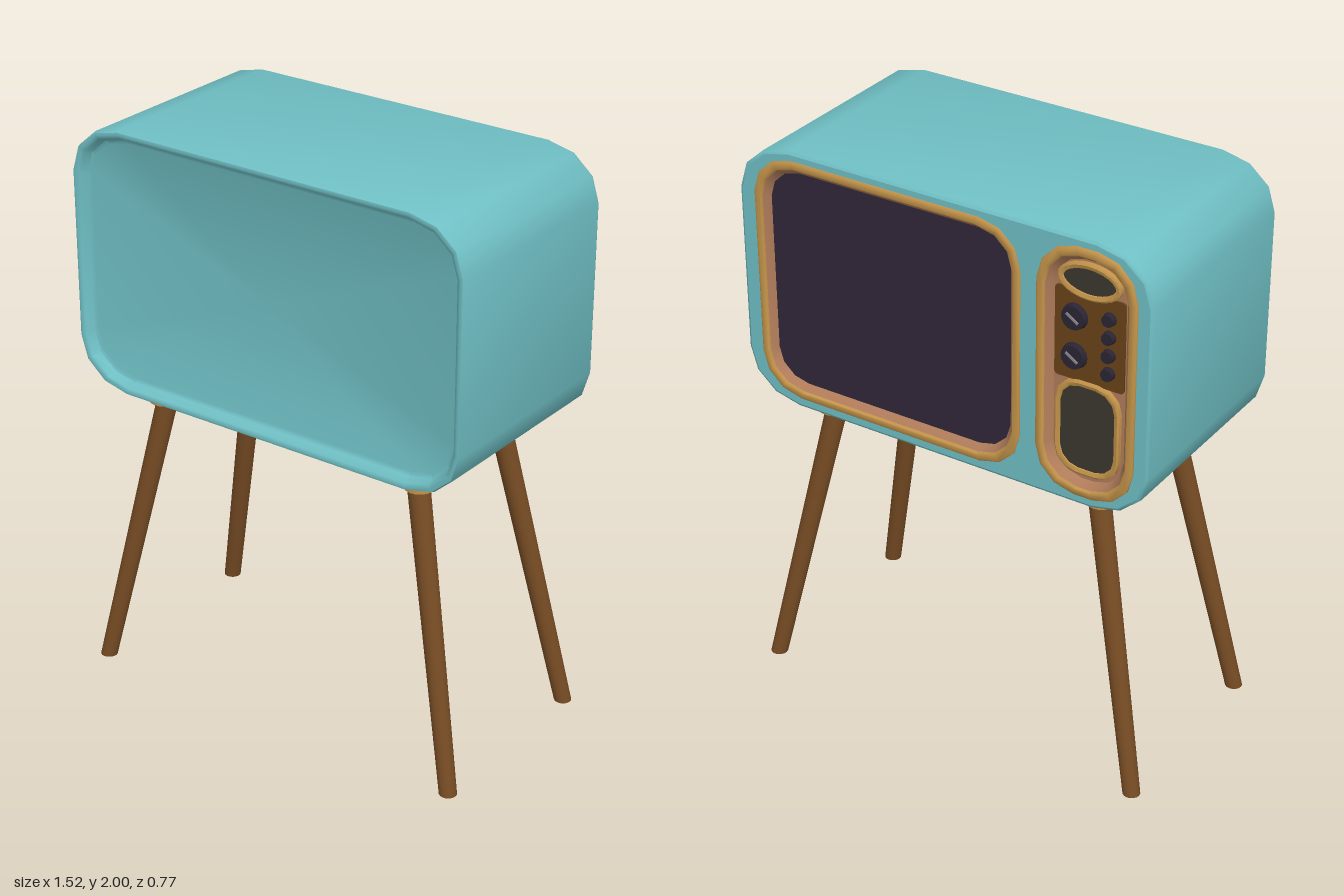
import * as THREE from 'three';
import { toCreasedNormals } from 'three/addons/utils/BufferGeometryUtils.js';

const mat = (name, color) => {
  const m = new THREE.MeshStandardMaterial({ color });
  m.name = name;
  return m;
};

// Rounded rectangle outline, counter-clockwise seen from +z
function outline({ x, y, w, h, rx, ry, steps = 3 }, inset = 0) {
  const hw = w / 2 - inset, hh = h / 2 - inset;
  const ax = Math.max(rx - inset * 0.7, 0.004), ay = Math.max(ry - inset * 0.7, 0.004);
  const pts = [];
  [[1, 1], [-1, 1], [-1, -1], [1, -1]].forEach(([sx, sy], q) => {
    for (let i = 0; i <= steps; i++) {
      const a = (q + i / steps) * Math.PI / 2;
      pts.push(new THREE.Vector2(
        x + sx * (hw - ax) + ax * Math.cos(a),
        y + sy * (hh - ay) + ay * Math.sin(a)));
    }
  });
  return pts;
}

// Skin over a series of [inset, z] rings, optionally closed at either end
function loft(shape, rings, { capStart = false, capEnd = false, crease = 0.85 } = {}) {
  const pos = [], idx = [];
  let n = 0;
  for (const [inset, z] of rings) {
    const pts = outline(shape, inset);
    n = pts.length;
    pts.forEach(p => pos.push(p.x, p.y, z));
  }
  for (let i = 0; i < rings.length - 1; i++) {
    for (let j = 0; j < n; j++) {
      const k = (j + 1) % n, a = i * n + j, b = i * n + k;
      idx.push(a, a + n, b, b, a + n, b + n);
    }
  }
  const cap = (ring, flip) => {
    const c = pos.length / 3;
    pos.push(shape.x, shape.y, rings[ring][1]);
    for (let j = 0; j < n; j++) {
      const a = ring * n + j, b = ring * n + (j + 1) % n;
      flip ? idx.push(c, b, a) : idx.push(c, a, b);
    }
  };
  if (capStart) cap(0, false);
  if (capEnd) cap(rings.length - 1, true);
  const g = new THREE.BufferGeometry();
  g.setAttribute('position', new THREE.Float32BufferAttribute(pos, 3));
  g.setIndex(idx);
  return toCreasedNormals(g, crease);
}

export function createModel() {
  const teal = mat('teal shell', 0x6fbfc4);
  const gold = mat('golden trim', 0xc4944a);
  const tan = mat('tan wood', 0xb07c5a);
  const brown = mat('brown leg wood', 0x774c24);
  const panelBrown = mat('dark panel wood', 0x684219);
  const glass = mat('dark glass', 0x31273a);
  const grille = mat('grille cloth', 0x3b362f);
  const knobDark = mat('dark knob', 0x2b2533);
  const pale = mat('pale marker', 0x8c8590);

  const root = new THREE.Group();
  root.name = 'television';
  const add = (name, geo, material, parent = root) => {
    const m = new THREE.Mesh(geo, material);
    m.name = name;
    parent.add(m);
    return m;
  };

  // Cabinet shell with a recessed panel on the +z side
  const body = { x: 0, y: 1.5375, w: 1.52, h: 0.925, rx: 0.195, ry: 0.17 };
  const screen = { x: 0.2, y: 1.54, w: 1.0, h: 0.86, rx: 0.15, ry: 0.14 };
  const control = { x: -0.535, y: 1.54, w: 0.35, h: 0.86, rx: 0.14, ry: 0.14 };
  add('cabinet', loft(body, [
    [0.05, 0.345], [0.036, 0.35], [0.024, 0.38], [0.012, 0.385], [0.004, 0.383],
    [0, 0.373], [0, -0.365], [0.003, -0.372], [0.01, -0.375],
  ], { capStart: true }), teal);

  // Cabinet face with openings for the screen and the controls
  const flip = pts => pts.map(p => new THREE.Vector2(-p.x, p.y));
  const face = new THREE.Shape(flip(outline(body, 0.01)));
  for (const s of [screen, control]) face.holes.push(new THREE.Path(flip(outline(s, 0.01))));
  const faceGeo = new THREE.ShapeGeometry(face);
  faceGeo.rotateY(Math.PI);
  faceGeo.translate(0, 0, -0.375);
  add('cabinetFace', faceGeo, teal);

  // Raised trims with sloping inner walls
  for (const [name, s, z] of [['screen', screen, -0.382], ['control', control, -0.386]]) {
    add(name + 'Trim', loft(s, [
      [0, -0.365], [0, z + 0.005], [0.006, z], [0.024, z], [0.03, z + 0.007],
    ]), gold);
    add(name + 'Slope', loft(s, [[0.03, z + 0.007], [0.05, -0.35]]), tan);
  }
  add('screenGlass', loft(screen, [[0.048, -0.352]], { capEnd: true }), glass);

  // Control panel
  const controls = new THREE.Group();
  controls.name = 'controls';
  root.add(controls);
  add('controlFloor', loft(control, [[0.048, -0.352]], { capEnd: true }), tan, controls);
  add('knobPlate', loft({ x: -0.535, y: 1.66, w: 0.246, h: 0.31, rx: 0.012, ry: 0.012 },
    [[0, -0.35], [0, -0.358]], { capEnd: true }), panelBrown, controls);
  const insets = [
    ['dial', { x: -0.535, y: 1.855, w: 0.222, h: 0.122, rx: 0.11, ry: 0.06, steps: 6 }],
    ['speaker', { x: -0.535, y: 1.345, w: 0.23, h: 0.33, rx: 0.08, ry: 0.08 }],
  ];
  for (const [name, s] of insets) {
    add(name + 'Rim', loft(s, [[0, -0.35], [0, -0.366], [0.006, -0.37], [0.018, -0.366], [0.02, -0.358]]),
      gold, controls);
    add(name + 'Cloth', loft(s, [[0.019, -0.362]], { capEnd: true }), grille, controls);
  }

  const knob = (name, x, y, r, depth) => {
    const g = new THREE.Group();
    g.name = name;
    g.position.set(x, y, -0.355);
    const base = new THREE.CylinderGeometry(r, r * 0.88, depth, 16);
    base.rotateX(Math.PI / 2);
    base.translate(0, 0, -depth / 2);
    add('knobBody', base, knobDark, g);
    controls.add(g);
    return g;
  };
  for (const y of [1.725, 1.59]) {
    const g = knob('largeKnob', -0.485, y, 0.045, 0.022);
    const mark = add('knobMarker', new THREE.BoxGeometry(0.05, 0.008, 0.006), pale, g);
    mark.position.z = -0.023;
    mark.rotation.z = 0.6;
  }
  for (let i = 0; i < 4; i++) knob('smallKnob', -0.605, 1.75 - i * 0.062, 0.023, 0.022);

  // Splayed legs, sheared so the feet sit flat, with a collar at the top
  for (const sx of [1, -1]) {
    for (const sz of [1, -1]) {
      const g = new THREE.CylinderGeometry(0.038, 0.03, 1.04, 16);
      g.translate(0, 0.52, 0);
      const p = g.attributes.position;
      for (let i = 0; i < p.count; i++) {
        const t = p.getY(i) / 1.04;
        p.setX(i, p.getX(i) + sx * (0.725 - 0.217 * t));
        p.setZ(i, p.getZ(i) + sz * (0.35 - 0.115 * t));
      }
      g.computeVertexNormals();
      add('leg', toCreasedNormals(g, 0.8), brown);
      const collar = add('legCollar', new THREE.CylinderGeometry(0.05, 0.05, 0.065, 16), gold);
      collar.position.set(sx * 0.521, 1.0475, sz * 0.245);
    }
  }

  // Crossed braces under the cabinet
  for (const s of [1, -1]) {
    const brace = add('crossBrace', new THREE.BoxGeometry(Math.hypot(1.04, 0.49), 0.05, 0.045), gold);
    brace.position.set(0, 1.047 + s * 0.001, 0);
    brace.rotation.y = s * Math.atan2(0.49, 1.04);
  }
  return root;
}
